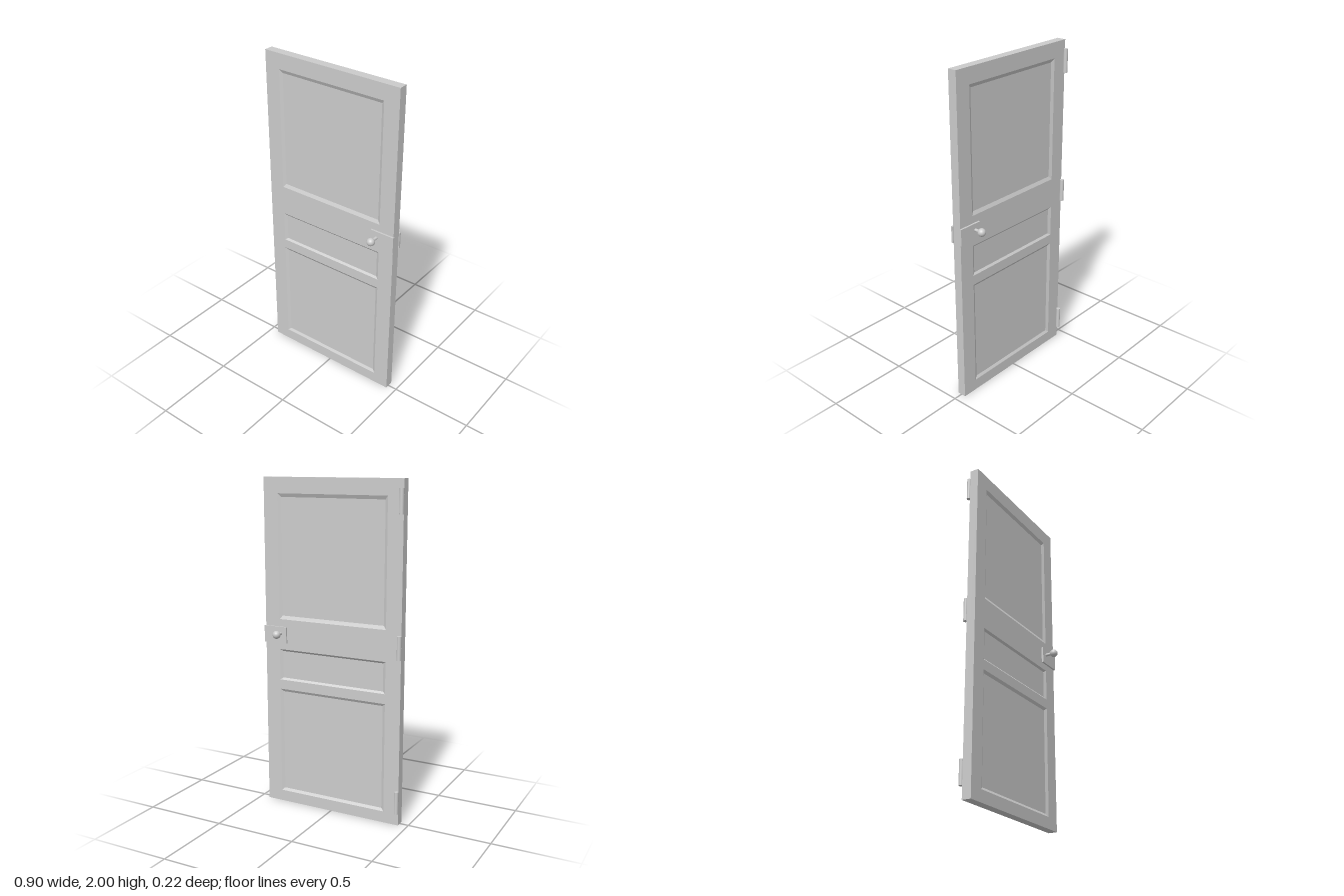
import * as THREE from 'three';

const grey = new THREE.MeshStandardMaterial({ color: 0xcccccc });

// Door slab extents
const DOOR = { x0: -0.446, x1: 0.444, h: 2, front: 0.024, back: -0.03 };
const MID_X = -0.001, MID_Z = (DOOR.front + DOOR.back) / 2;
const HALF_W = 0.35, RECESS = 0.01, SIDE_BEVEL = 0.018;

// Sunken panels: bottom, top and height of the sloped moulding
const PANELS = [
  { name: 'lowerPanel', y0: 0.069, y1: 0.731, bevel: 0.016 },
  { name: 'middlePanel', y0: 0.79, y1: 0.98, bevel: 0.012 },
  { name: 'upperPanel', y0: 1.165, y1: 1.907, bevel: 0.021 },
];

function add(parent, name, geometry, x = 0, y = 0, z = 0) {
  const mesh = new THREE.Mesh(geometry, grey);
  mesh.name = name;
  mesh.position.set(x, y, z);
  parent.add(mesh);
  return mesh;
}

function rectPath(path, x0, y0, x1, y1) {
  path.moveTo(x0, y0);
  path.lineTo(x1, y0);
  path.lineTo(x1, y1);
  path.lineTo(x0, y1);
  path.closePath();
  return path;
}

// Four sloped sides leading down to a flat field, facing +z
function panelGeometry({ y0, y1, bevel }) {
  const ring = (dx, dy, z) => [
    [-HALF_W + dx, y0 + dy, z], [HALF_W - dx, y0 + dy, z],
    [HALF_W - dx, y1 - dy, z], [-HALF_W + dx, y1 - dy, z],
  ];
  const outer = ring(0, 0, 0), inner = ring(SIDE_BEVEL, bevel, -RECESS);
  const pos = [];
  const quad = (a, b, c, d) => pos.push(...a, ...b, ...c, ...a, ...c, ...d);
  for (let i = 0; i < 4; i++) {
    const j = (i + 1) % 4;
    quad(outer[i], outer[j], inner[j], inner[i]);
  }
  quad(...inner);
  const g = new THREE.BufferGeometry();
  g.setAttribute('position', new THREE.Float32BufferAttribute(pos, 3));
  g.computeVertexNormals();
  return g;
}

export function createModel() {
  const model = new THREE.Group();
  model.name = 'door';

  // Slab with an opening for each panel
  const shape = rectPath(new THREE.Shape(), DOOR.x0, 0, DOOR.x1, DOOR.h);
  for (const p of PANELS) {
    shape.holes.push(rectPath(new THREE.Path(), MID_X - HALF_W, p.y0, MID_X + HALF_W, p.y1));
  }
  const thickness = DOOR.front - DOOR.back;
  add(model, 'doorFrame', new THREE.ExtrudeGeometry(shape, { depth: thickness, bevelEnabled: false }), 0, 0, DOOR.back);

  // Recessed panels on both faces
  for (const [side, s] of [['front', 1], ['back', -1]]) {
    const face = new THREE.Group();
    face.name = side + 'Panels';
    face.position.set(MID_X, 0, MID_Z);
    if (s < 0) face.rotation.y = Math.PI;
    for (const p of PANELS) add(face, p.name, panelGeometry(p), 0, 0, thickness / 2);
    model.add(face);
  }

  // Lock plate, stem and round knob on both faces
  for (const [side, s, z] of [['front', 1, DOOR.front], ['back', -1, DOOR.back]]) {
    const handle = new THREE.Group();
    handle.name = side + 'Handle';
    add(handle, 'lockPlate', new THREE.BoxGeometry(0.152, 0.1, 0.012), 0.373, 1.07, z + s * 0.005);
    const ballZ = s * 0.088;
    const stem = add(handle, 'knobStem', new THREE.CylinderGeometry(0.009, 0.009, Math.abs(ballZ - z), 24),
      0.336, 1.08, (z + ballZ) / 2);
    stem.rotation.x = Math.PI / 2;
    add(handle, 'knob', new THREE.SphereGeometry(0.024, 32, 20), 0.336, 1.08, ballZ);
    model.add(handle);
  }

  // Hinge barrels along the back edge
  for (const y of [0.145, 1.07, 1.88]) {
    add(model, 'hinge', new THREE.CylinderGeometry(0.0125, 0.0125, 0.138, 24), -0.438, y, -0.043);
  }
  return model;
}
